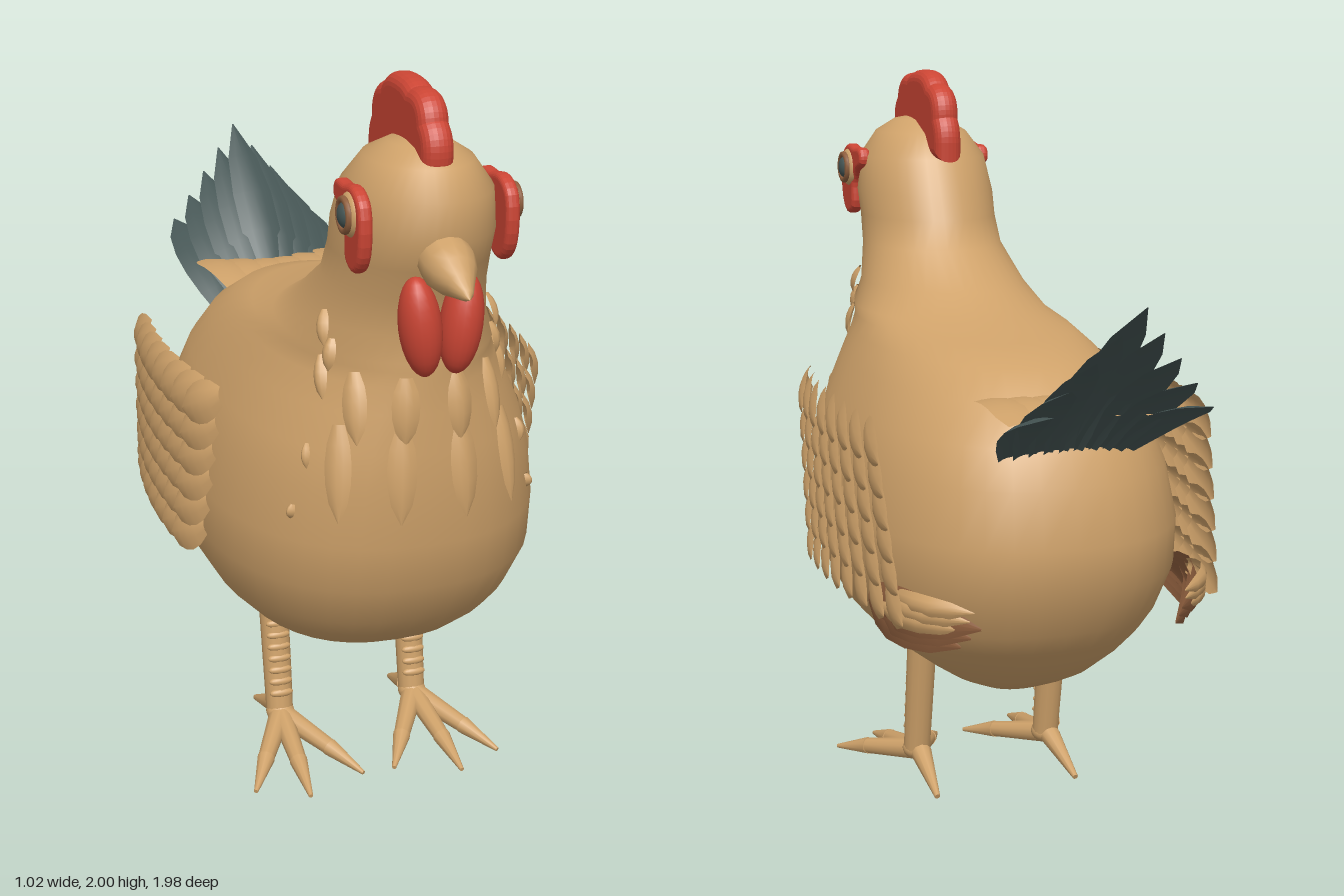
import * as THREE from 'three';
import { mergeGeometries } from 'three/addons/utils/BufferGeometryUtils.js';

const V = (x, y, z) => new THREE.Vector3(x, y, z);
const paint = (name, color, side = THREE.FrontSide) => {
  const m = new THREE.MeshStandardMaterial({ color, side });
  m.name = name;
  return m;
};

// Body slices: height, half width, front z, back z
const ROWS = [
  [0.34, 0, -0.08, -0.08], [0.355, 0.11, 0.08, -0.22], [0.385, 0.18, 0.22, -0.29], [0.42, 0.235, 0.36, -0.36],
  [0.48, 0.32, 0.54, -0.43], [0.54, 0.375, 0.615, -0.485], [0.6, 0.41, 0.67, -0.53], [0.72, 0.45, 0.74, -0.59],
  [0.85, 0.45, 0.765, -0.61], [1.0, 0.425, 0.775, -0.575],
  [1.1, 0.39, 0.775, -0.53], [1.2, 0.345, 0.77, -0.45], [1.27, 0.305, 0.77, -0.33], [1.31, 0.28, 0.77, -0.18],
  [1.335, 0.265, 0.77, 0.02], [1.4, 0.23, 0.765, 0.15], [1.5, 0.2, 0.79, 0.31], [1.58, 0.193, 0.83, 0.345],
  [1.65, 0.195, 0.855, 0.37], [1.75, 0.18, 0.855, 0.42], [1.82, 0.13, 0.81, 0.48], [1.855, 0.075, 0.74, 0.56],
  [1.87, 0, 0.65, 0.65],
];
// Slices are squarer low on the body and round at the neck
const roundness = (y) => 0.82 + 0.18 * THREE.MathUtils.smoothstep(y, 1.05, 1.4);
const spow = (v, e) => Math.sign(v) * Math.abs(v) ** e;

function bodyGeometry(n = 40) {
  const pos = [], idx = [];
  ROWS.forEach(([y, w, f, b], r) => {
    const e = roundness(y);
    for (let i = 0; i < n; i++) {
      const a = (i / n) * Math.PI * 2;
      pos.push(w * spow(Math.cos(a), e), y, (f + b) / 2 + ((f - b) / 2) * spow(Math.sin(a), e));
      if (r === ROWS.length - 1) continue;
      const p = r * n + i, q = r * n + ((i + 1) % n);
      idx.push(p, p + n, q, q, p + n, q + n);
    }
  });
  const g = new THREE.BufferGeometry();
  g.setAttribute('position', new THREE.Float32BufferAttribute(pos, 3));
  g.setIndex(idx);
  g.computeVertexNormals();
  return g;
}

// Point on the front of the body at a given x and y, lifted along its normal
function onBody(x, y, lift) {
  const k = Math.max(1, ROWS.findIndex((r) => r[0] >= y)), e = roundness(y);
  const A = ROWS[k - 1], B = ROWS[k], t = (y - A[0]) / (B[0] - A[0]);
  const [, w, f, b] = A.map((v, i) => v + (B[i] - v) * t);
  const c = spow(THREE.MathUtils.clamp(x / w, -0.99, 0.99), 1 / e), s = Math.sqrt(1 - c * c), d = (f - b) / 2;
  const normal = V(c / w, 0, s / d).normalize();
  return { point: V(w * spow(c, e), y, (f + b) / 2 + d * s ** e).addScaledVector(normal, lift), normal };
}

// Ridged leaf from base to tip; widths are sampled along its length, bow lifts its middle
const LEAF = [0.45, 0.85, 1, 0.95, 0.7, 0.05];
const BLADE = [0.45, 0.8, 1, 1, 0.75, 0.03];
const BLUNT = [0.85, 0.95, 1, 1, 0.95, 0.6];
function feather(base, tip, normal, width, ridge, bow = 0, widths = LEAF) {
  const dir = tip.clone().sub(base), len = dir.length();
  dir.normalize();
  const out = normal.clone().addScaledVector(dir, -normal.dot(dir)).normalize();
  const across = dir.clone().cross(out);
  const pos = [], idx = [], n = widths.length - 1;
  widths.forEach((w, r) => {
    const t = r / n;
    for (let c = -2; c <= 2; c++) {
      pos.push((c / 4) * width * w, t * len, ridge * w * (1 - (c * c) / 4) + bow * Math.sin(Math.PI * t));
      if (r === n || c === 2) continue;
      const p = r * 5 + c + 2;
      idx.push(p, p + 1, p + 5, p + 1, p + 6, p + 5);
    }
  });
  const g = new THREE.BufferGeometry();
  g.setAttribute('position', new THREE.Float32BufferAttribute(pos, 3));
  g.setIndex(idx);
  g.computeVertexNormals();
  return g.applyMatrix4(new THREE.Matrix4().makeBasis(across, dir, out).setPosition(base));
}

// Tapered rod between two points
function rod(a, b, r0, r1, sides = 10) {
  const d = b.clone().sub(a), g = new THREE.CylinderGeometry(r1, r0, d.length(), sides);
  g.applyQuaternion(new THREE.Quaternion().setFromUnitVectors(V(0, 1, 0), d.clone().normalize()));
  return g.translate(...a.clone().add(b).multiplyScalar(0.5).toArray());
}

const ellipsoid = (p, rx, ry, rz) => new THREE.SphereGeometry(1, 20, 14).scale(rx, ry, rz).translate(...p);

// Side-on plate: shape drawn in (z, y), thickness along x
function sidePlate(points, depth, bevel, x) {
  const g = new THREE.ExtrudeGeometry(new THREE.Shape(points), {
    depth, bevelEnabled: true, bevelSize: bevel, bevelThickness: bevel, bevelSegments: 5,
  });
  return g.translate(0, 0, -depth / 2).rotateY(-Math.PI / 2).translate(x, 0, 0);
}

export function createModel() {
  const hen = new THREE.Group();
  hen.name = 'hen';
  const tan = paint('tan', 0xcfa26a);
  const plume = paint('tanFeather', 0xcfa26a, THREE.DoubleSide);
  const red = paint('red', 0xcb4534);
  const slate = paint('slate', 0x465655, THREE.DoubleSide);
  const brown = paint('brown', 0x8f5f3e, THREE.DoubleSide);
  const add = (name, geo, mat) => {
    const m = new THREE.Mesh(Array.isArray(geo) ? mergeGeometries(geo) : geo, mat);
    m.name = name;
    hen.add(m);
    return m;
  };

  add('body', bodyGeometry(), tan);

  // Beak: rounded cone drooping to its tip
  const beak = new THREE.LatheGeometry(
    [[0.066, -0.06], [0.066, 0.015], [0.055, 0.05], [0.035, 0.09], [0.016, 0.13], [0, 0.15]].map((p) => new THREE.Vector2(...p)), 14);
  beak.rotateX(Math.PI / 2 + 0.3).translate(0, 1.605, 0.85);
  add('beak', beak, tan);

  // Comb with a scalloped crest
  const crest = [];
  for (let i = 0; i <= 54; i++) {
    const t = (i / 54) * Math.PI, c = Math.cos(t), s = Math.sin(t);
    const r = 0.92 + 0.08 * Math.abs(Math.sin(t * 4.5 + 0.3));
    crest.push(new THREE.Vector2(0.59 + 0.182 * r * spow(c, 0.65), 1.8 + 0.168 * r * s ** 0.75 - 0.02 * (c < 0 ? -c : 0)));
  }
  add('comb', sidePlate(crest, 0.012, 0.033, 0), red);

  // Face patches, eyes and wattles
  const patch = new THREE.CatmullRomCurve3(
    [[0.785, 1.735], [0.74, 1.765], [0.68, 1.758], [0.625, 1.757], [0.62, 1.735], [0.665, 1.715], [0.7, 1.67], [0.705, 1.6], [0.75, 1.585], [0.785, 1.625]]
      .map(([z, y]) => V(z, y, 0)), true).getPoints(40).slice(0, -1).map((p) => new THREE.Vector2(p.x, p.y));
  for (const s of [1, -1]) {
    const side = s > 0 ? 'left' : 'right';
    add(side + 'FacePatch', sidePlate(patch, 0.01, 0.013, s * 0.184), red);
    add(side + 'Eyelid', ellipsoid([s * 0.195, 1.71, 0.73], 0.026, 0.056, 0.056), tan);
    add(side + 'Iris', new THREE.TorusGeometry(0.038, 0.009, 8, 24).rotateY(Math.PI / 2).translate(s * 0.214, 1.71, 0.73), brown);
    add(side + 'Pupil', ellipsoid([s * 0.21, 1.71, 0.73], 0.02, 0.032, 0.032), slate);
    const wattle = add(side + 'Wattle', ellipsoid([0, 0, 0], 0.052, 0.126, 0.058), red);
    wattle.position.set(s * 0.052, 1.445, 0.814);
    wattle.rotation.z = -s * 0.12;
  }

  // Breast feathers: x, top y, length, width, lift of the tip
  const breast = [];
  for (const [x, y, len, w, lift] of [
    [0.075, 1.17, 0.24, 0.075, 0.03], [0.21, 1.17, 0.24, 0.07, 0.025], [0.065, 1.3, 0.17, 0.07, 0.012], [0.17, 1.3, 0.17, 0.065, 0.012],
    [0.225, 1.32, 0.1, 0.045, 0.008], [0.275, 1.11, 0.06, 0.025, 0.004], [0.31, 0.95, 0.04, 0.025, 0.004],
    [0.21, 1.43, 0.08, 0.045, 0.012], [0.205, 1.37, 0.08, 0.045, 0.012],
  ]) {
    for (const s of [1, -1]) {
      const top = onBody(s * x, y, 0.002), low = onBody(s * (x + 0.005), y - len, lift);
      breast.push(feather(top.point, low.point, low.normal, w, 0.015, 0.004));
    }
  }
  add('breastFeathers', breast, plume);

  // Wings: rows of overlapping feathers on a bowed sheet, with long flight feathers below
  const sheet = (s, y, z, lift) => V(s * (0.488 - 0.26 * z * z + lift), y, z);
  for (const s of [1, -1]) {
    const side = s > 0 ? 'left' : 'right', out = V(s, 0, 0), coverts = [], flight = [], upper = [];
    for (let r = 0; r < 6; r++) {
      for (let c = 0; c < 8; c++) {
        const z = 0.385 - r * 0.022 - c * 0.09, y = 1.16 - r * 0.08 - c * 0.003;
        coverts.push(feather(sheet(s, y, z, -0.025), sheet(s, y - 0.075, z - 0.145, 0.018), out, 0.115, 0.018, 0.004));
      }
    }
    add(side + 'WingCoverts', coverts, plume);
    for (let i = 0; i < 3; i++) {
      flight.push(feather(V(s * (0.415 + i * 0.006), 0.645 + i * 0.012, -0.14 - i * 0.03),
        V(s * (0.3 - i * 0.012), 0.605 + i * 0.035, -0.54 - i * 0.043), V(s, 0.1, -0.35), 0.12, 0.015, 0.055));
    }
    for (let i = 0; i < 3; i++) {
      upper.push(feather(V(s * (0.435 - i * 0.01), 0.665 + i * 0.022, -0.3 - i * 0.03),
        V(s * (0.305 - i * 0.008), 0.665 + i * 0.025, -0.59 - i * 0.012), V(s, 0.1, -0.4), 0.06, 0.014, 0.045));
    }
    add(side + 'FlightFeathers', flight, brown);
    add(side + 'UpperFlightFeathers', upper, plume);
  }

  // Tail fan, longest in the middle
  const tail = [], cover = [];
  for (let i = -4; i <= 4; i++) {
    const k = Math.abs(i);
    tail.push(feather(V(i * 0.04, 1.06 + 0.004 * k, -0.51), V(i * 0.054, 1.525 - 0.066 * k, -0.985 + 0.021 * k),
      V(i * 0.03, 1, 1), 0.12, 0.014, 0.025, BLADE));
  }
  add('tailFeathers', tail, slate);

  // Tail coverts arching over the root of the tail
  for (let i = -2.5; i <= 2.5; i++) {
    const k = Math.abs(i);
    cover.push(feather(V(i * 0.062, 1.197, -0.375 + 0.014 * k), V(i * 0.074, 1.195, -0.6 - 0.022 * k),
      V(i * 0.02, 1, 0), 0.095, 0.006, 0.022, BLUNT));
  }
  add('tailCoverts', cover, plume);

  // Legs, shin scales and toes
  for (const s of [1, -1]) {
    const side = s > 0 ? 'left' : 'right', x = s * 0.2, scales = [];
    add(side + 'Leg', rod(V(x, 0.09, 0.125), V(x, 0.43, 0.07), 0.038, 0.042, 14), tan);
    for (let i = 0; i < 7; i++) {
      const y = 0.15 + i * 0.034;
      scales.push(ellipsoid([x, y, 0.153 - (y - 0.1) * 0.16], 0.034, 0.013, 0.013));
    }
    add(side + 'ShinScales', scales, tan);
    const ankle = V(x, 0.08, 0.135), toes = [ellipsoid([x, 0.085, 0.13], 0.04, 0.033, 0.042)];
    for (const [dx, tz] of [[-0.155, 0.41], [0.02, 0.48], [0.155, 0.41]]) {
      const tip = V(x + dx * s, 0.01, tz), mid = ankle.clone().lerp(tip, 0.6).add(V(0, 0.004, 0));
      toes.push(rod(ankle, mid, 0.032, 0.023), rod(mid, tip, 0.025, 0.006));
    }
    toes.push(rod(V(x, 0.085, 0.085), V(x + s * 0.01, 0.016, -0.085), 0.03, 0.008));
    add(side + 'Toes', toes, tan);
  }
  return hen;
}
